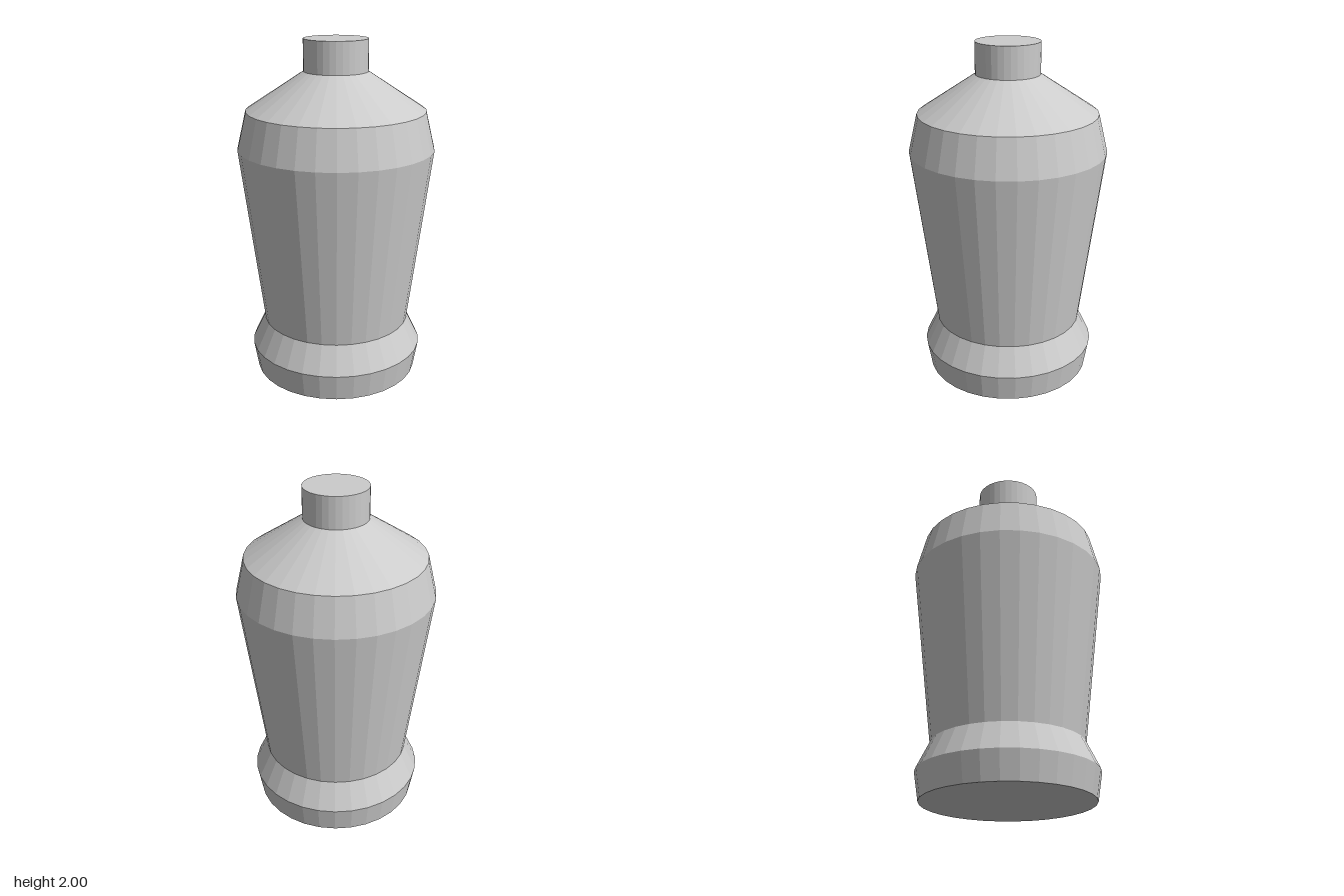
import * as THREE from 'three';

const SIDES = 32;

export function createModel() {
  const model = new THREE.Group();
  model.name = 'bottle';
  const material = new THREE.MeshStandardMaterial({ color: 0xcccccc, flatShading: true });

  // Turned part from [radius, height] pairs, listed bottom to top
  const addTurned = (name, profile) => {
    const points = profile.map(([r, y]) => new THREE.Vector2(r, y));
    const mesh = new THREE.Mesh(new THREE.LatheGeometry(points, SIDES), material);
    mesh.name = name;
    model.add(mesh);
  };

  // Flared foot with closed underside
  addTurned('foot', [[0, 0], [0.489, 0], [0.516, 0.16], [0.438, 0.322]]);

  // Tapered body widening up to the rounded-in rim
  addTurned('body', [[0.438, 0.322], [0.571, 1.38], [0.518, 1.6]]);

  // Sloping shoulder
  addTurned('shoulder', [[0.518, 1.6], [0.185, 1.818]]);

  // Straight neck with closed top
  addTurned('neck', [[0.185, 1.818], [0.185, 2], [0, 2]]);

  return model;
}
